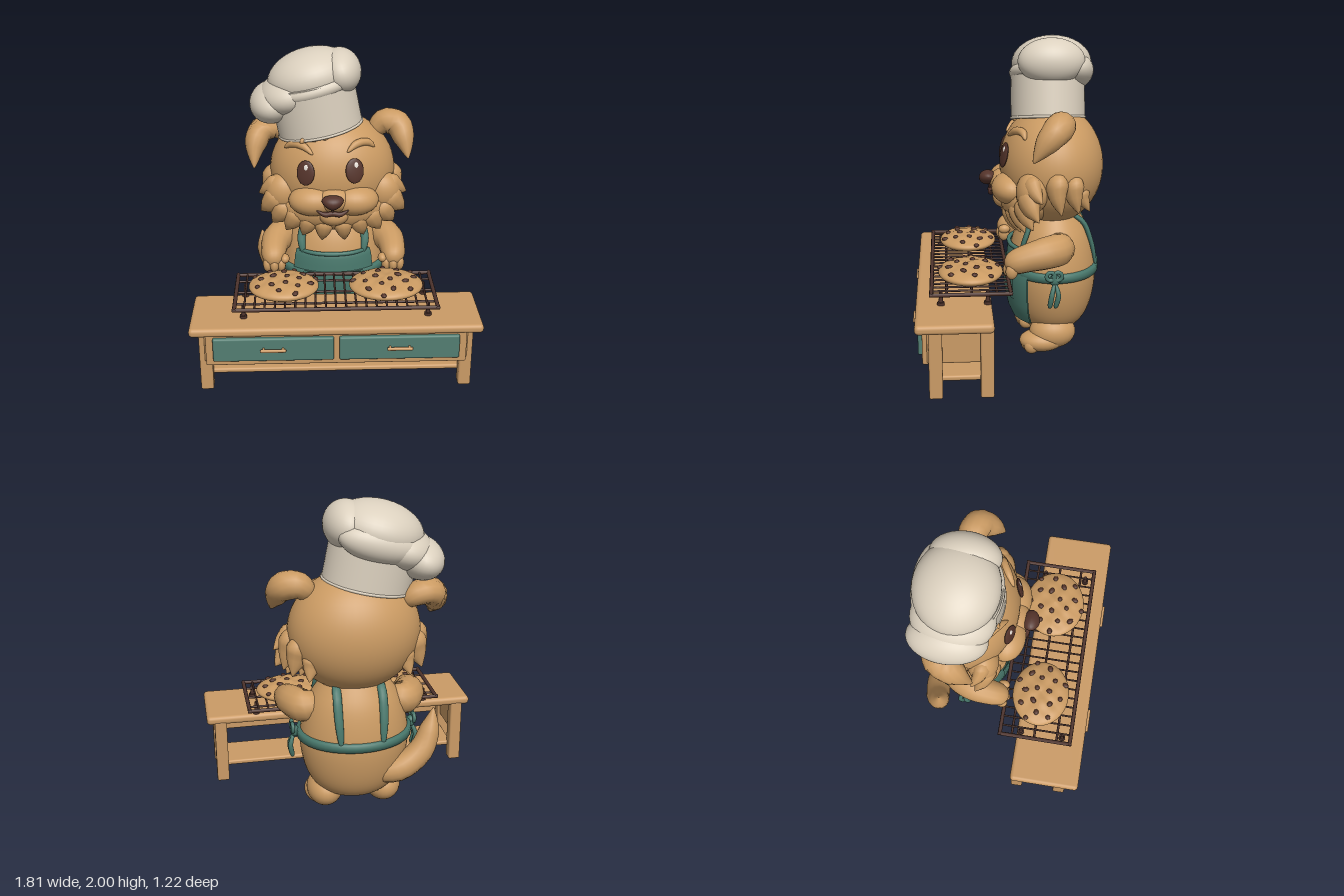
import * as THREE from 'three';
import { RoundedBoxGeometry } from 'three/addons/geometries/RoundedBoxGeometry.js';

const paint = (name, color, side = THREE.FrontSide) => {
  const m = new THREE.MeshStandardMaterial({ color, side });
  m.name = name;
  return m;
};
const V = (p) => new THREE.Vector3(...p);

// Smooth round-ended limb swept along points; flat stretches the section towards ref
function limbGeometry(points, radii, flat = 1, ref = [0, 0, 1], n = 22, m = 14) {
  const curve = new THREE.CatmullRomCurve3(points.map(V));
  const pos = [], idx = [], up0 = V(ref);
  for (let i = 0; i <= n; i++) {
    const t = (1 - Math.cos(Math.PI * i / n)) / 2;
    const c = curve.getPoint(t), T = curve.getTangent(t);
    const side = T.clone().cross(up0).normalize(), up = side.clone().cross(T);
    const f = t * (radii.length - 1), k = Math.min(Math.floor(f), radii.length - 2);
    const r = THREE.MathUtils.lerp(radii[k], radii[k + 1], f - k)
      * Math.sqrt(Math.max(1e-6, 1 - Math.pow(Math.abs(2 * t - 1), 6)));
    for (let j = 0; j < m; j++) {
      const a = j / m * Math.PI * 2;
      const p = c.clone().addScaledVector(side, r * Math.cos(a)).addScaledVector(up, r * flat * Math.sin(a));
      pos.push(p.x, p.y, p.z);
      if (i < n) {
        const A = i * m + j, B = i * m + (j + 1) % m;
        idx.push(A, A + m, B, B, A + m, B + m);
      }
    }
  }
  const g = new THREE.BufferGeometry();
  g.setAttribute('position', new THREE.Float32BufferAttribute(pos, 3));
  g.setIndex(idx);
  g.computeVertexNormals();
  return g;
}

export function createModel() {
  const root = new THREE.Group();
  const fur = paint('fur', 0xcb9b63), wood = paint('wood', 0xcb9b66), cookieMat = paint('cookie', 0xcb9b63);
  const teal = paint('teal cloth', 0x47766a, THREE.DoubleSide), drawerMat = paint('drawer teal', 0x537e72);
  const cream = paint('hat cream', 0xdbd0be), metal = paint('rack brown', 0x4f342d);
  const choc = paint('chocolate', 0x54342a), dark = paint('face brown', 0x55342b), white = paint('eye shine', 0xf3ece4);

  const add = (name, geo, mat, p = [0, 0, 0]) => {
    const mesh = new THREE.Mesh(geo, mat);
    mesh.name = name;
    mesh.position.set(...p);
    root.add(mesh);
    return mesh;
  };
  const ball = (name, mat, p, r, w = 28, h = 18) => {
    const mesh = add(name, new THREE.SphereGeometry(1, w, h), mat, p);
    mesh.scale.set(...r);
    return mesh;
  };
  const limb = (name, mat, ...args) => add(name, limbGeometry(...args), mat);
  // Rounded box from min and max corners
  const block = (name, mat, a, b, r = 0.012) => add(name,
    new RoundedBoxGeometry(b[0] - a[0], b[1] - a[1], b[2] - a[2], 3, r), mat, a.map((v, i) => (v + b[i]) / 2));
  const rod = (name, mat, a, b, r) => add(name,
    new THREE.TubeGeometry(new THREE.LineCurve3(V(a), V(b)), 1, r, 8), mat);
  const both = (fn) => [-1, 1].forEach(fn);

  // Table, open at the back and underneath
  block('tableTop', wood, [-0.905, 0.42, 0.13], [0.905, 0.477, 0.587], 0.024);
  block('tableFront', wood, [-0.81, 0.2, 0.505], [0.81, 0.425, 0.547]);
  block('lowerShelf', wood, [-0.8, 0.088, 0.18], [0.8, 0.12, 0.46]);
  both((s) => {
    block('tableSide', wood, [s * 0.805 - 0.015, 0.21, 0.16], [s * 0.805 + 0.015, 0.43, 0.52]);
    for (const z of [0.17, 0.47])
      block('tableLeg', wood, [s * 0.815 - 0.04, 0, z - 0.04], [s * 0.815 + 0.04, 0.44, z + 0.04]);
    block('drawer', drawerMat, [s * 0.39 - 0.373, 0.24, 0.53], [s * 0.39 + 0.373, 0.4, 0.572]);
    block('drawerHandle', wood, [s * 0.39 - 0.08, 0.32, 0.588], [s * 0.39 + 0.08, 0.34, 0.608], 0.008);
    for (const d of [-0.06, 0.06]) rod('handlePost', wood, [s * 0.39 + d, 0.33, 0.56], [s * 0.39 + d, 0.33, 0.595], 0.008);
  });

  // Cooling rack
  for (const z of [0.02, 0.49]) rod('rackFrame', metal, [-0.64, 0.557, z], [0.64, 0.557, z], 0.013);
  both((s) => rod('rackFrame', metal, [s * 0.628, 0.557, 0.008], [s * 0.628, 0.557, 0.502], 0.013));
  for (const z of [0.1, 0.25, 0.4]) rod('rackRail', metal, [-0.63, 0.55, z], [0.63, 0.55, z], 0.008);
  for (let i = 1; i < 20; i++) {
    const x = -0.63 + i * 0.063;
    rod('rackWire', metal, [x, 0.56, 0.02], [x, 0.56, 0.49], 0.0065);
  }
  both((s) => [0.155, 0.435].forEach((z) => {
    add('rackFoot', new THREE.CylinderGeometry(0.01, 0.014, 0.08, 10), metal, [s * 0.575, 0.52, z]);
    add('rackFootPad', new THREE.CylinderGeometry(0.022, 0.022, 0.018, 14), metal, [s * 0.575, 0.486, z]);
  }));

  // Cookies: flattened bumpy domes with chips on a spiral
  both((s) => {
    const rx = s > 0 ? 0.235 : 0.222, rz = s > 0 ? 0.2 : 0.188, y0 = 0.597;
    const g = new THREE.SphereGeometry(1, 48, 28), p = g.attributes.position;
    for (let i = 0; i < p.count; i++) {
      const x = p.getX(i) * rx, z = p.getZ(i) * rz, y = p.getY(i) * 0.055;
      const bump = 0.005 * Math.sin(52 * x + s) * Math.cos(48 * z + 15 * x);
      p.setXYZ(i, x, Math.max(y, -0.026) + (y > 0 ? bump * y / 0.055 : 0), z);
    }
    g.computeVertexNormals();
    add('cookie', g, cookieMat, [s * 0.325, y0, 0.25]);
    for (let i = 0; i < 17; i++) {
      const q = Math.sqrt((i + 0.6) / 18.5), a = i * 2.4 + s;
      ball('chocolateChip', choc, [s * 0.325 + rx * q * Math.cos(a), y0 + 0.055 * Math.sqrt(1 - q * q),
        0.25 + rz * q * Math.sin(a)], [0.016 + 0.004 * (i % 3), 0.013, 0.017], 10, 8).rotation.y = a;
    }
  });

  // Body, a lathe squeezed front to back
  const CZ = -0.29, SQ = 0.83;
  const profile = [[0.001, 0.1], [0.15, 0.118], [0.23, 0.16], [0.29, 0.24], [0.33, 0.36], [0.345, 0.5],
    [0.325, 0.65], [0.28, 0.78], [0.2, 0.9]];
  const radiusAt = (y) => {
    const k = Math.max(1, profile.findIndex((q) => q[1] >= y)), [a, b] = [profile[k - 1], profile[k]];
    return a[0] + (b[0] - a[0]) * (y - a[1]) / (b[1] - a[1]);
  };
  const bodyPoint = (x, y, dir, off = 0.015) =>
    [x, y, CZ + dir * (SQ * Math.sqrt(Math.max(0, radiusAt(y) ** 2 - x * x)) + off)];
  const lathe = (name, mat, pts, start = 0, len = Math.PI * 2) => {
    const m = add(name, new THREE.LatheGeometry(pts, 48, start, len), mat, [0, 0, CZ]);
    m.scale.z = SQ;
  };
  lathe('body', fur, new THREE.SplineCurve(profile.map((q) => new THREE.Vector2(...q))).getPoints(32));

  // Apron bib, skirt, pocket, belt, straps and side ties
  const P = (r, y) => new THREE.Vector2(r, y);
  const sheet = (ys, off) => [...ys.map((y) => P(radiusAt(y) + off(y), y)),
    ...[...ys].reverse().map((y) => P(radiusAt(y) + off(y) - 0.014, y))];
  lathe('apronBib', teal, sheet([0.5, 0.55, 0.6, 0.65, 0.69], () => 0.022), -0.82, 1.64);
  lathe('apronSkirt', teal, sheet([0.2, 0.26, 0.32, 0.4, 0.47, 0.54], (y) => 0.024 + (0.54 - y) * 0.08), -0.92, 1.84);
  lathe('apronPocket', teal, sheet([0.35, 0.4, 0.47, 0.56], () => 0.042), -0.55, 1.1);
  lathe('apronBelt', teal, [P(0.335, 0.508), P(0.364, 0.511), P(0.366, 0.537), P(0.364, 0.562), P(0.335, 0.566)]);
  limb('bibHem', teal, [-0.24, -0.12, 0, 0.12, 0.24].map((x) => bodyPoint(x, 0.685, 1, 0.02)), [0.014, 0.014]);
  both((s) => {
    limb('apronStrap', teal, [bodyPoint(s * 0.2, 0.67, 1), bodyPoint(s * 0.21, 0.77, 1, 0.03), [s * 0.18, 0.87, -0.15],
      [s * 0.13, 0.91, -0.3], [s * 0.14, 0.86, -0.46], bodyPoint(s * 0.14, 0.72, -1), bodyPoint(s * 0.13, 0.54, -1)],
    [0.028, 0.028], 0.6, [0, 0, 1], 36);
    ball('tieKnot', teal, [s * 0.375, 0.54, -0.27], [0.028, 0.037, 0.034]);
    for (const d of [-1, 1]) {
      const loop = add('tieLoop', new THREE.TorusGeometry(0.026, 0.013, 8, 18), teal, [s * 0.39, 0.57, -0.265 + d * 0.022]);
      loop.rotation.y = Math.PI / 2;
      limb('tieTail', teal, [[s * 0.38, 0.53, -0.27], [s * 0.405, 0.45, -0.27 + d * 0.02],
        [s * 0.39, 0.36, -0.255 + d * 0.018]], [0.011, 0.016, 0.017], 1);
    }
  });

  // Legs, feet, arms and hands
  both((s) => {
    ball('thigh', fur, [s * 0.19, 0.125, -0.28], [0.115, 0.11, 0.15]);
    ball('foot', fur, [s * 0.205, 0.072, -0.21], [0.105, 0.072, 0.145]);
    for (const d of [-0.05, 0, 0.05])
      ball('toe', fur, [s * 0.205 + d, 0.05, -0.125 - Math.abs(d) * 0.3], [0.042, 0.05, 0.05], 16, 12);
    limb('arm', fur, [[s * 0.2, 0.76, -0.27], [s * 0.31, 0.725, -0.3], [s * 0.375, 0.715, -0.2], [s * 0.395, 0.69, -0.08],
      [s * 0.39, 0.645, 0.04]], [0.07, 0.105, 0.1, 0.085, 0.08], 1, [0, 1, 0], 28);
    for (const d of [-0.045, 0, 0.045])
      ball('finger', fur, [s * 0.39 + d, 0.625, 0.015 - Math.abs(d) * 0.3], [0.03, 0.05, 0.038], 16, 12);
    ball('thumb', fur, [s * 0.32, 0.665, 0], [0.03, 0.03, 0.04], 16, 12);
  });
  limb('tail', fur, [[-0.08, 0.28, -0.43], [-0.26, 0.32, -0.47], [-0.4, 0.42, -0.45], [-0.46, 0.55, -0.42],
    [-0.485, 0.69, -0.41]], [0.08, 0.085, 0.08, 0.065, 0.015]);

  // Head, muzzle, cheeks and jaw
  const H = [0, 1.2, -0.28], HR = [0.41, 0.38, 0.33];
  const headPoint = (x, y, off = 0) =>
    [x, y, H[2] + off + HR[2] * Math.sqrt(1 - (x / HR[0]) ** 2 - ((y - H[1]) / HR[1]) ** 2)];
  ball('head', fur, H, HR, 48, 32);
  ball('jaw', fur, [0, 1.0, -0.12], [0.36, 0.17, 0.175]);
  ball('muzzleBridge', fur, [0, 1.09, 0.005], [0.13, 0.085, 0.11]);
  both((s) => {
    ball('muzzle', fur, [s * 0.13, 1.075, -0.01], [0.16, 0.1, 0.12]);
    ball('cheek', fur, [s * 0.32, 1.09, -0.13], [0.12, 0.13, 0.1]);
  });
  ball('chin', fur, [0, 0.98, 0.01], [0.1, 0.07, 0.085]);
  const nose = new THREE.SphereGeometry(1, 24, 18), np = nose.attributes.position;
  for (let i = 0; i < np.count; i++) np.setX(i, np.getX(i) * (0.82 + 0.3 * np.getY(i)));
  nose.computeVertexNormals();
  add('nose', nose, dark, [-0.01, 1.11, 0.125]).scale.set(0.08, 0.046, 0.056);
  limb('mouth', dark, [[-0.115, 1.05, 0.1], [-0.06, 1.022, 0.108], [-0.01, 1.028, 0.108], [0.04, 1.022, 0.108],
    [0.095, 1.05, 0.1]], [0.006, 0.017, 0.016, 0.017, 0.006]);
  rod('mouthLine', dark, [-0.01, 1.08, 0.115], [-0.01, 1.03, 0.112], 0.006);

  // Eyes and brows lie on the head surface
  const disc = (name, mat, x, y, off, r) => {
    const p = headPoint(x, y), n = V(p.map((v, i) => (v - H[i]) / HR[i] ** 2)).normalize();
    const m = ball(name, mat, V(p).addScaledVector(n, off).toArray(), r);
    m.lookAt(m.position.clone().add(n));
  };
  for (const [x, y, s] of [[-0.175, 1.27, -1], [0.13, 1.285, 1]]) {
    disc('eye', dark, x, y, 0.006, [0.06, 0.08, 0.014]);
    disc('eyeShine', white, x + 0.006, y + 0.035, 0.017, [0.015, 0.02, 0.005]);
    limb('brow', fur, [[-0.08, -0.02], [-0.02, 0.02], [0.05, 0.02], [0.1, -0.015]].map(([u, v]) =>
      headPoint(x + s * (0.035 + u), y + 0.135 + v, 0.01)), [0.012, 0.025, 0.025, 0.012], 1, [0, 0, 1]);
  }

  // Pointed fur tufts
  const tuft = (a, b, r) => {
    const mid = a.map((v, i) => (v + b[i]) / 2 + (i === 2 ? 0.015 : 0));
    limb('furTuft', fur, [a, mid, b], [r * 0.8, r, r * 0.65, 0.008], 0.8, [0.1, 0.05, 1], 16, 12);
  };
  both((s) => [
    [0.32, 1.17, -0.12, 0.485, 1.06, -0.18, 0.075], [0.32, 1.1, -0.1, 0.475, 0.94, -0.16, 0.09],
    [0.28, 1.04, -0.08, 0.4, 0.87, -0.13, 0.085], [0.21, 1.01, -0.05, 0.31, 0.83, -0.09, 0.078],
    [0.14, 0.98, -0.03, 0.2, 0.8, -0.07, 0.07], [0.055, 0.96, -0.01, 0.075, 0.775, -0.05, 0.065],
    [0.35, 1.22, -0.28, 0.44, 0.97, -0.3, 0.09], [0.33, 1.2, -0.38, 0.4, 0.97, -0.41, 0.085],
    [0.27, 1.12, -0.43, 0.31, 0.96, -0.49, 0.065],
  ].forEach(([a, b, c, d, e, f, r]) => tuft([s * a, b, c], [s * d, e, f], r)));
  for (const x of [-0.2, -0.13, -0.06]) tuft([x + 0.04, 1.48, -0.12], [x - 0.01, 1.45 + 0.2 * (x + 0.2), -0.04], 0.03);

  // Folded ears, each with its own pose
  limb('leftEar', fur, [[0.25, 1.42, -0.28], [0.34, 1.505, -0.3], [0.425, 1.495, -0.27], [0.46, 1.42, -0.2],
    [0.485, 1.31, -0.12]], [0.06, 0.085, 0.088, 0.07, 0.02], 1.05);
  limb('rightEar', fur, [[-0.27, 1.38, -0.36], [-0.37, 1.445, -0.39], [-0.46, 1.44, -0.35], [-0.5, 1.37, -0.27],
    [-0.51, 1.24, -0.16]], [0.06, 0.075, 0.083, 0.075, 0.02], 1.25);

  // Tilted hat: band, rolled rim and puffy crown
  const band = add('hatBand', new THREE.CylinderGeometry(0.275, 0.275, 0.32, 48), cream, [-0.108, 1.637, -0.265]);
  const rim = add('hatRim', new THREE.TorusGeometry(0.272, 0.01, 8, 48).rotateX(Math.PI / 2), cream, [-0.076, 1.482, -0.265]);
  for (const m of [band, rim]) {
    m.scale.z = 0.86;
    m.rotation.z = 0.2;
  }
  for (const [p, r] of [
    [[-0.14, 1.82, -0.29], [0.28, 0.175, 0.255]], [[-0.385, 1.645, -0.31], [0.15, 0.13, 0.24]],
    [[0.05, 1.855, -0.27], [0.135, 0.145, 0.21]], [[-0.12, 1.77, -0.43], [0.25, 0.115, 0.125]],
    [[-0.28, 1.71, -0.29], [0.2, 0.135, 0.25]], [[-0.13, 1.765, -0.265], [0.29, 0.1, 0.245]],
  ]) ball('hatPuff', cream, p, r, 36, 24).rotation.z = 0.25;
  return root;
}
